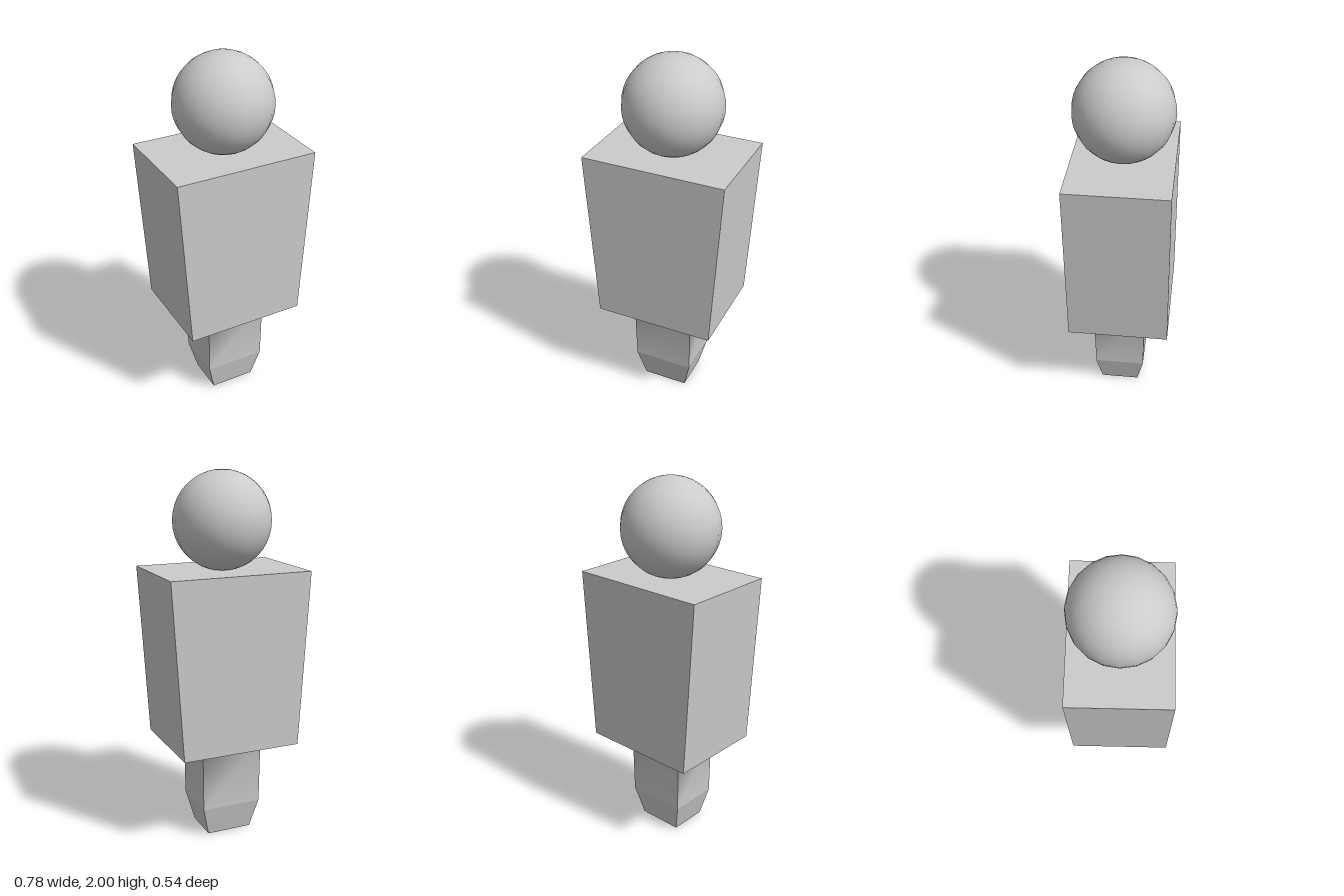
import * as THREE from 'three';
import { mergeGeometries } from 'three/addons/utils/BufferGeometryUtils.js';

const material = new THREE.MeshStandardMaterial({ color: 0xcccccc });

// Rectangular cross-section: height, half width, back z, front z
const section = (y, w, back, front) => [[-w, y, front], [w, y, front], [w, y, back], [-w, y, back]];

// Four-sided loft, smooth along each side and sharp at the corners
function loft(sections, capBottom, capTop) {
  const parts = [];
  const add = (points, index) => {
    const g = new THREE.BufferGeometry();
    g.setAttribute('position', new THREE.Float32BufferAttribute(points.flat(), 3));
    g.setIndex(index);
    g.computeVertexNormals();
    parts.push(g);
  };
  for (let side = 0; side < 4; side++) {
    const points = [], index = [];
    sections.forEach((s, i) => {
      points.push(s[side], s[(side + 1) % 4]);
      const a = 2 * i;
      if (i) index.push(a - 2, a - 1, a + 1, a - 2, a + 1, a);
    });
    add(points, index);
  }
  if (capBottom) add(sections[0], [0, 2, 1, 0, 3, 2]);
  if (capTop) add(sections[sections.length - 1], [0, 1, 2, 0, 2, 3]);
  return mergeGeometries(parts);
}

export function createModel() {
  const model = new THREE.Group();
  const add = (name, geometry) => {
    const mesh = new THREE.Mesh(geometry, material);
    mesh.name = name;
    model.add(mesh);
    return mesh;
  };

  const torsoBottom = section(0.53, 0.332, -0.272, 0.272);
  const torsoTop = section(1.483, 0.391, -0.27, 0.268);
  const legTop = section(0.53, 0.173, -0.135, 0.152);
  const legBottom = section(0.165, 0.168, -0.13, 0.147);
  const footBottom = section(0, 0.126, -0.095, 0.116);

  // Head
  add('head', new THREE.SphereGeometry(0.263, 20, 20)).position.y = 1.737;
  // Torso widening towards the shoulders
  add('torso', loft([torsoBottom, torsoTop], false, true));
  // Post blending into the underside of the torso
  add('legs', loft([legBottom, legTop, torsoBottom], false, false));
  // Tapered foot
  add('foot', loft([footBottom, legBottom], true, false));

  return model;
}
